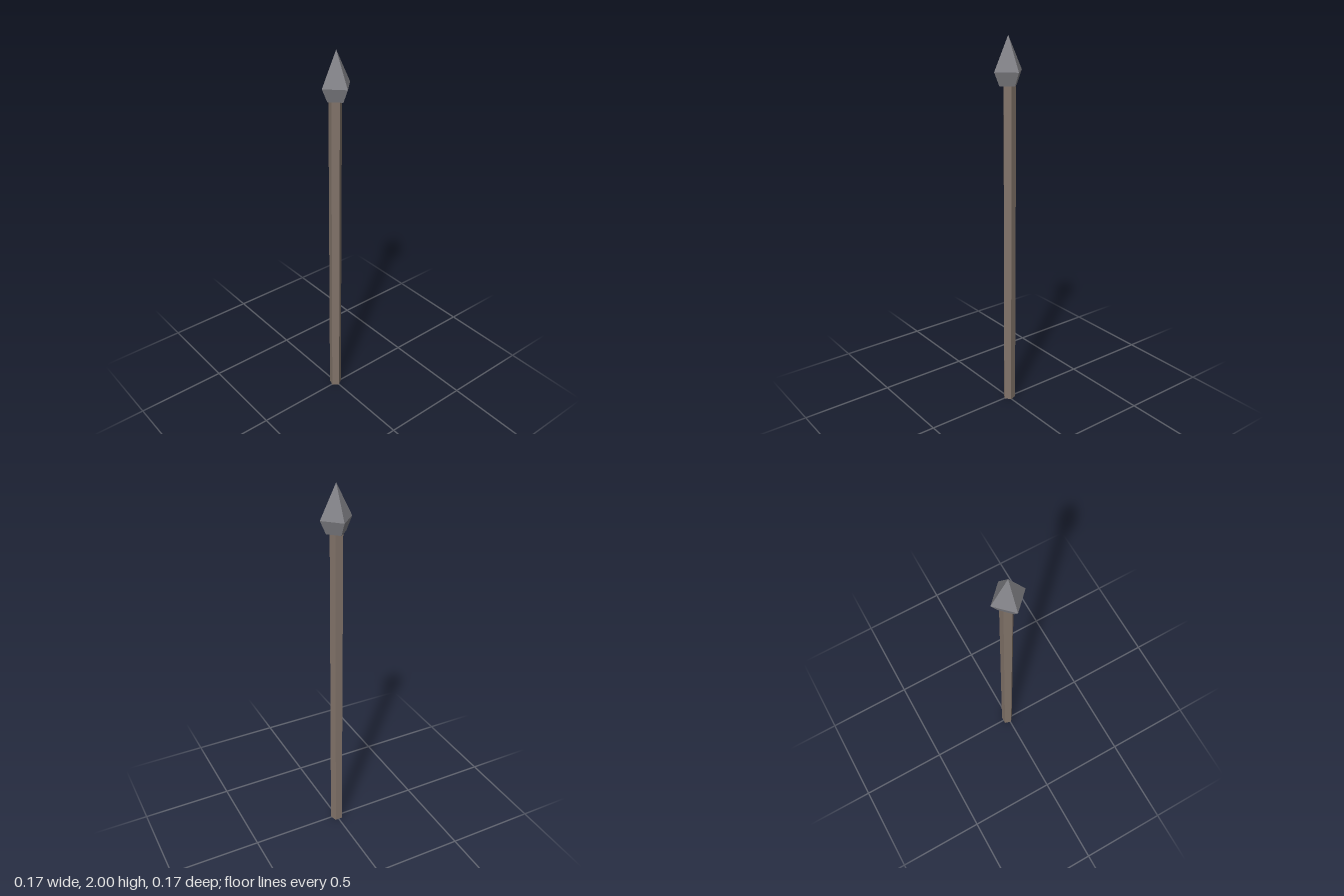
import * as THREE from 'three';

export function createModel() {
  const model = new THREE.Group();
  model.name = 'spear';

  const wood = new THREE.MeshStandardMaterial({ color: 0x82746a, flatShading: true });
  wood.name = 'brown wood';
  const stone = new THREE.MeshStandardMaterial({ color: 0x828287, flatShading: true });
  stone.name = 'grey stone';

  // Five-sided shaft with one corner towards +x, set slightly off the axis
  const shaftTop = 1.765;
  const shaftGeometry = new THREE.CylinderGeometry(0.034, 0.034, shaftTop, 5);
  shaftGeometry.rotateY(Math.PI / 2);
  const shaft = new THREE.Mesh(shaftGeometry, wood);
  shaft.name = 'shaft';
  shaft.position.set(-0.0065, shaftTop / 2, 0);
  model.add(shaft);

  // Four-sided head: flat underside, flared collar, tapering point
  const profile = [[0, 1.76], [0.054, 1.76], [0.085, 1.83], [0, 2]]
    .map(([r, y]) => new THREE.Vector2(r, y));
  const head = new THREE.Mesh(new THREE.LatheGeometry(profile, 4), stone);
  head.name = 'spearhead';
  model.add(head);

  return model;
}
